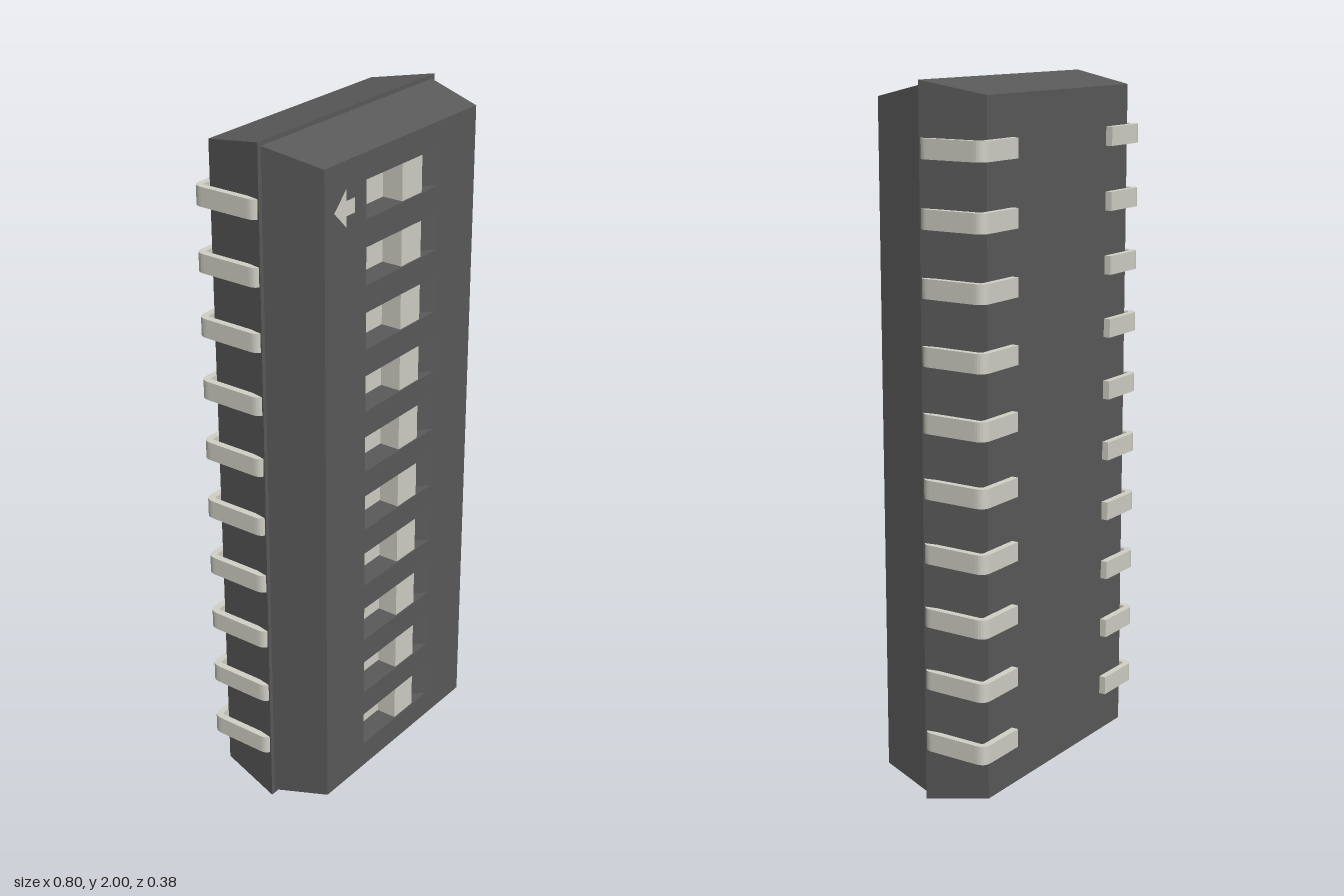
import * as THREE from 'three';

const dark = new THREE.MeshStandardMaterial({ color: 0x5a5a5a, side: THREE.DoubleSide, flatShading: true });
const light = new THREE.MeshStandardMaterial({ color: 0xd0d0c6 });

const COUNT = 10, FIRST = 0.18, PITCH = 0.1828;
const FACE = 0.19, FLOOR = 0.12, SEAM = 0.02, BACK = -0.17;
const SLOT_W = 0.163, SLOT_H = 0.053, KNOB_W = 0.09;

// Flat-shaded surface from four-cornered faces (corners counter-clockwise)
function quads(faces) {
  const points = faces.flatMap(([a, b, c, d]) => [a, b, c, a, c, d]).flat();
  const geometry = new THREE.BufferGeometry();
  geometry.setAttribute('position', new THREE.Float32BufferAttribute(points, 3));
  geometry.computeVertexNormals();
  return geometry;
}

// Rectangle ring at depth z, inset from the bottom and top by m
const ring = (w, m, z) => [[-w, m, z], [w, m, z], [w, 2 - m, z], [-w, 2 - m, z]];

// Four sloping sides between a back ring and a front ring
const sides = (back, front) => back.map((p, i) => {
  const j = (i + 1) % 4;
  return [p, back[j], front[j], front[i]];
});

function add(parent, name, geometry, material) {
  const mesh = new THREE.Mesh(geometry, material);
  mesh.name = name;
  parent.add(mesh);
  return mesh;
}

function rectPath(w, h, y) {
  return new THREE.Path([[-w, -h], [-w, h], [w, h], [w, -h]].map(([a, b]) => new THREE.Vector2(a, y + b)));
}

// Bent pin: out of the seam, back along the side, then inward under the body
function pinGeometry(s) {
  const p = new THREE.Shape();
  p.moveTo(s * 0.35, -0.018);
  p.lineTo(s * 0.38, -0.018);
  p.quadraticCurveTo(s * 0.4, -0.014, s * 0.4, 0.01);
  p.lineTo(s * 0.4, 0.16);
  p.quadraticCurveTo(s * 0.4, 0.19, s * 0.37, 0.19);
  p.lineTo(s * 0.237, 0.19);
  p.lineTo(s * 0.237, 0.17);
  p.lineTo(s * 0.37, 0.17);
  p.quadraticCurveTo(s * 0.38, 0.17, s * 0.38, 0.16);
  p.lineTo(s * 0.38, 0.002);
  p.lineTo(s * 0.35, 0.002);
  const g = new THREE.ExtrudeGeometry(p, { depth: 0.054, bevelEnabled: false, curveSegments: 6 });
  return g.rotateX(-Math.PI / 2).translate(0, -0.027, 0);
}

// Slot recess: sloping ends, flat floor and two upright walls
function recessGeometry() {
  const profile = [[-SLOT_W, FACE], [-KNOB_W, FLOOR], [KNOB_W, FLOOR], [SLOT_W, FACE]];
  const low = profile.map(([x, z]) => [x, -SLOT_H, z]);
  const high = profile.map(([x, z]) => [x, SLOT_H, z]);
  const faces = [0, 1, 2].map(i => [low[i], low[i + 1], high[i + 1], high[i]]);
  faces.push([...low].reverse(), high);
  return quads(faces);
}

export function createModel() {
  const model = new THREE.Group();
  model.name = 'switchBlock';
  const heights = Array.from({ length: COUNT }, (_, i) => FIRST + i * PITCH);

  // Rear half of the housing, slightly wider at the seam
  const rearFront = ring(0.388, 0, SEAM), rearBack = ring(0.352, 0.035, BACK);
  add(model, 'rearHousing', quads([...sides(rearBack, rearFront), rearFront, [...rearBack].reverse()]), dark);

  // Front half: tapered sides and a face with slot openings
  add(model, 'frontHousing', quads(sides(ring(0.375, 0.012, SEAM), ring(0.34, 0.049, FACE))), dark);
  const face = new THREE.Shape(ring(0.34, 0.049, 0).map(([x, y]) => new THREE.Vector2(x, y)));
  face.holes = heights.map(y => rectPath(SLOT_W, SLOT_H, y));
  add(model, 'frontFace', new THREE.ShapeGeometry(face).translate(0, 0, FACE), dark);

  // Recesses with sliders, and a pair of pins for each
  const recess = recessGeometry();
  const base = new THREE.BoxGeometry(KNOB_W, SLOT_H * 2 - 0.002, 0.01).translate(-KNOB_W / 2, 0, FLOOR);
  const knob = new THREE.BoxGeometry(KNOB_W, SLOT_H * 2 - 0.002, 0.067).translate(KNOB_W / 2, 0, FLOOR + 0.0335);
  const pins = [['leftPin', pinGeometry(1)], ['rightPin', pinGeometry(-1)]];
  for (const y of heights) {
    const row = new THREE.Group();
    row.name = 'switchRow';
    row.position.y = y;
    add(row, 'slotRecess', recess, dark);
    add(row, 'sliderBase', base, light);
    add(row, 'sliderKnob', knob, light);
    for (const [name, geometry] of pins) add(row, name, geometry, light);
    model.add(row);
  }

  // Direction arrow printed beside the top slot
  const arrow = new THREE.Shape([
    [-0.3, 0], [-0.25, -0.05], [-0.25, -0.02], [-0.215, -0.02],
    [-0.215, 0.02], [-0.25, 0.02], [-0.25, 0.05],
  ].map(([x, y]) => new THREE.Vector2(x, y)));
  const mark = new THREE.ExtrudeGeometry(arrow, { depth: 0.002, bevelEnabled: false });
  add(model, 'arrowMark', mark.translate(0, heights[COUNT - 1], FACE - 0.001), light);

  return model;
}
